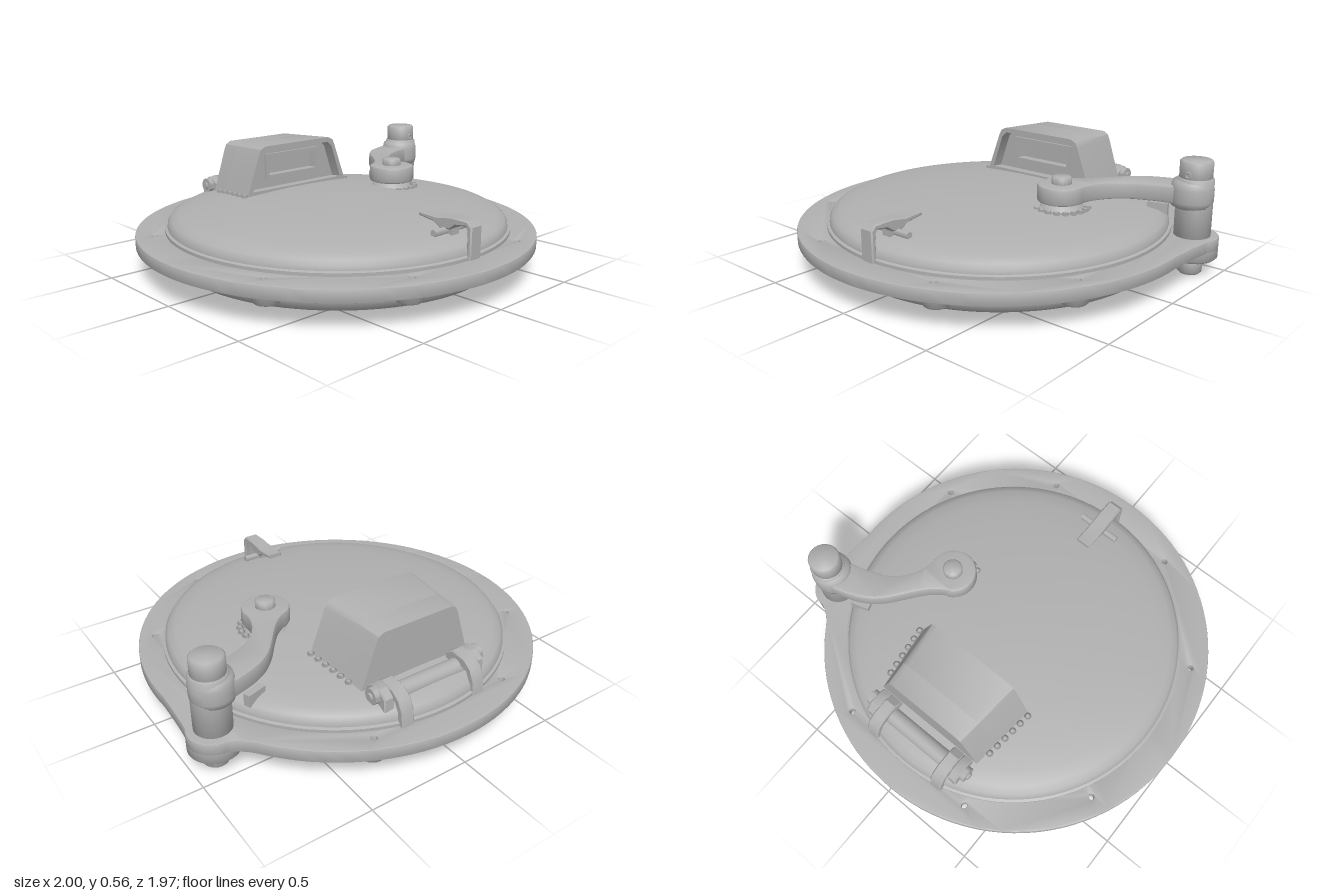
import * as THREE from 'three';
import { toCreasedNormals } from 'three/addons/utils/BufferGeometryUtils.js';

export function createModel() {
  const model = new THREE.Group();
  model.name = 'hatch';
  const steel = new THREE.MeshStandardMaterial({ color: 0xb0b0b0 });
  steel.name = 'grey steel';

  const add = (name, geometry, x = 0, y = 0, z = 0, crease = 0.6) => {
    const mesh = new THREE.Mesh(toCreasedNormals(geometry, crease), steel);
    mesh.name = name;
    mesh.position.set(x, y, z);
    model.add(mesh);
    return mesh;
  };
  const lathe = (pts, seg) => new THREE.LatheGeometry(pts.map(p => new THREE.Vector2(...p)), seg);
  const poly = pts => new THREE.Shape(pts.map(p => new THREE.Vector2(...p)));
  // upright round part with a slightly softened top edge
  const post = (name, x, z, r, y0, y1, e = 0.008) => add(name,
    lathe([[0, y0], [r - e, y0], [r, y0 + e], [r, y1 - e], [r - e, y1], [0, y1]], 32), x, 0, z, 0.9);
  // plan outline (x, -z) raised to a plate
  const plate = (shape, depth, bevel = 0) => new THREE.ExtrudeGeometry(shape, {
    depth: depth - 2 * bevel, curveSegments: 48, bevelEnabled: bevel > 0,
    bevelSize: bevel, bevelThickness: bevel, bevelOffset: -bevel, bevelSegments: 2,
  }).translate(0, 0, bevel).rotateX(-Math.PI / 2);
  // side profile (z, y) given a width across x
  const sideProfile = (pts, width) => new THREE.ExtrudeGeometry(poly(pts), {
    depth: width - 0.012, bevelSize: 0.006, bevelThickness: 0.006, bevelOffset: -0.006, bevelSegments: 1,
  }).translate(0, 0, 0.006 - width / 2).rotateY(-Math.PI / 2);
  const rod = (name, x, y, z, r, length) =>
    add(name, new THREE.CylinderGeometry(r, r, length, 24).rotateZ(Math.PI / 2), x, y, z);

  // flange with a rounded ear for the swing post
  const PX = 0.877, PZ = -0.38, rad = Math.PI / 180;
  const flange = new THREE.Shape();
  flange.absarc(-0.015, 0, 0.985, 36 * rad, 364 * rad, false);
  flange.quadraticCurveTo(0.975, 0.24, 0.985, 0.327);
  flange.absarc(0.88, 0.385, 0.12, -0.5, 1.6, false);
  flange.quadraticCurveTo(0.82, 0.53, 0.782, 0.579);
  flange.holes.push(new THREE.Path().absarc(0, 0, 0.81, 0, Math.PI * 2, true));
  const bolts = [[0.365, 0.82], [0.79, 0.42], [-0.365, 0.82], [-0.81, 0.42],
    [-0.81, -0.41], [-0.365, -0.825], [0.365, -0.825]];
  for (const [x, z] of bolts)
    flange.holes.push(new THREE.Path().absarc(x, -z, 0.014, 0, Math.PI * 2, true));
  add('flange', plate(flange, 0.06, 0.006), 0, 0.13, 0);

  // tapered drilled bosses below the flange
  for (const [x, z] of bolts)
    add('bolt boss', lathe([[0.014, 0.135], [0.014, 0.078], [0.055, 0.078], [0.062, 0.085], [0.075, 0.135]], 24),
      x * 0.97, 0, z * 0.97);

  // lid: flat underside, rounded rim, shallow dome on top
  add('lid', lathe([[0, 0.01], [0.74, 0.01], [0.795, 0.022], [0.83, 0.05], [0.836, 0.072], [0.815, 0.088],
    [0.815, 0.15], [0.855, 0.18], [0.855, 0.205], [0.842, 0.21], [0.84, 0.228], [0.825, 0.25], [0.79, 0.268],
    [0.72, 0.284], [0.6, 0.301], [0.45, 0.315], [0.25, 0.328], [0, 0.334]], 96), 0, 0, -0.005, 0.7);

  // swing post and its ear
  post('post ear', 0.88, -0.385, 0.12, 0.078, 0.185, 0.012);
  post('post pin', PX, PZ, 0.058, 0, 0.09, 0.01);
  post('post collar', PX, PZ, 0.086, 0.18, 0.47);
  post('post top', PX, PZ, 0.077, 0.44, 0.552);
  const hole = add('post cross hole', new THREE.TorusGeometry(0.013, 0.004, 8, 20), PX, 0.49, PZ + 0.077);
  hole.rotation.x = 0;

  // swing arm, bent between the post and the lid pivot
  const arm = new THREE.Shape();
  arm.moveTo(0.9, 0.295);
  arm.absarc(PX, 0.38, 0.088, -1.3, 1.9, false);
  arm.bezierCurveTo(0.72, 0.43, 0.63, 0.41, 0.55, 0.32);
  arm.bezierCurveTo(0.48, 0.24, 0.43, 0.14, 0.34, 0.1);
  arm.absarc(0.39, 0, 0.115, 2.0, 6.4, false);
  arm.bezierCurveTo(0.505, 0.1, 0.56, 0.19, 0.65, 0.235);
  arm.bezierCurveTo(0.73, 0.27, 0.82, 0.3, 0.9, 0.295);
  add('swing arm', plate(arm, 0.085, 0.014), 0, 0.345, 0);
  add('arm root', lathe([[0.07, 0.32], [0.095, 0.335], [0.1, 0.36], [0.1, 0.42], [0.092, 0.45], [0.07, 0.465]], 32),
    PX - 0.012, 0, PZ + 0.004, 1);
  post('pivot stud', 0.39, 0, 0.048, 0.4, 0.465);
  add('pivot foot', lathe([[0.12, 0.3], [0.1, 0.325], [0.085, 0.35], [0, 0.355]], 32), 0.39, 0, 0, 1);

  // weld beads
  const bead = (x, y, z, r = 0.018) =>
    add('weld bead', new THREE.SphereGeometry(r, 10, 8).scale(1, 0.6, 1), x, y, z, 3);
  for (let i = 0; i < 9; i++) {
    const a = -0.5 + i * 0.32;
    bead(0.39 + Math.cos(a) * 0.125, 0.318, Math.sin(a) * 0.125);
  }
  for (const s of [-1, 1])
    for (let i = 0; i < 6; i++) bead(s * (0.345 - i * 0.006), 0.318 - i * 0.004, -0.32 - i * 0.05);

  // hooded viewer housing, narrowing toward the back
  const hoodOutline = [[-0.355, 0.26], [0.355, 0.26], [0.322, 0.35], [0.258, 0.52], [0.245, 0.545], [0.215, 0.56],
    [-0.215, 0.56], [-0.245, 0.545], [-0.258, 0.52], [-0.322, 0.35]];
  const mouth = [[-0.3, 0.335], [0.3, 0.335], [0.238, 0.51], [0.21, 0.535], [-0.21, 0.535], [-0.238, 0.51]];
  const box = (x, y0, y1) => [[-x, y0], [x, y0], [x, y1], [-x, y1]];
  const hoodPart = (name, outline, holePts, zBack, zFront) => {
    const shape = poly(outline);
    if (holePts) shape.holes.push(new THREE.Path(holePts.map(p => new THREE.Vector2(...p))));
    const g = new THREE.ExtrudeGeometry(shape, { depth: zFront - zBack, bevelEnabled: false }).translate(0, 0, zBack);
    const p = g.attributes.position;
    for (let i = 0; i < p.count; i++) {
      const t = (-0.305 - p.getZ(i)) / 0.34;
      p.setX(i, p.getX(i) * (1 - 0.12 * t));
      p.setY(i, p.getY(i) - 0.015 * t);
    }
    add(name, g);
  };
  hoodPart('viewer hood', hoodOutline, mouth, -0.53, -0.305);
  hoodPart('viewer back', hoodOutline, null, -0.645, -0.53);
  hoodPart('viewer panel', mouth, box(0.165, 0.4, 0.49), -0.53, -0.36);
  hoodPart('window frame', box(0.185, 0.378, 0.512), box(0.165, 0.4, 0.49), -0.37, -0.345);
  hoodPart('window pane', box(0.18, 0.39, 0.5), null, -0.43, -0.4);

  // rear hinge: straps, knuckles and rod
  const strap = [[-0.65, 0.25], [-0.65, 0.315], [-0.69, 0.345], [-0.77, 0.34], [-0.815, 0.31], [-0.84, 0.26],
    [-0.85, 0.185], [-0.815, 0.185], [-0.805, 0.25], [-0.785, 0.285], [-0.76, 0.29], [-0.74, 0.25]];
  for (const s of [-1, 1]) {
    add('hinge strap', sideProfile(strap, 0.065), s * 0.2, 0, 0);
    add('hinge lug', sideProfile([[-0.65, 0.25], [-0.65, 0.32], [-0.69, 0.345], [-0.74, 0.345], [-0.78, 0.31],
      [-0.785, 0.24]], 0.05), s * 0.255, 0, 0);
    rod('hinge knuckle', s * 0.285, 0.305, -0.715, 0.038, 0.04);
    rod('hinge pin end', s * 0.305, 0.305, -0.715, 0.018, 0.022);
  }
  rod('hinge rod', 0, 0.275, -0.72, 0.042, 0.4);

  // front latch hook with its cross pin
  add('latch hook', sideProfile([[0.858, 0.185], [0.858, 0.335], [0.835, 0.36], [0.74, 0.362], [0.66, 0.35],
    [0.56, 0.358], [0.56, 0.338], [0.645, 0.325], [0.69, 0.3], [0.74, 0.305], [0.77, 0.328], [0.825, 0.335],
    [0.834, 0.31], [0.834, 0.185]], 0.076), 0, 0, 0);
  add('latch foot', new THREE.BoxGeometry(0.05, 0.06, 0.07), 0, 0.295, 0.71);
  rod('latch pin', 0, 0.295, 0.71, 0.016, 0.22);

  // small stop below the arm at the lid edge
  const stop = add('arm stop', new THREE.BoxGeometry(0.1, 0.06, 0.035), 0.68, 0.275, -0.395);
  stop.rotation.y = 0.3;

  return model;
}
